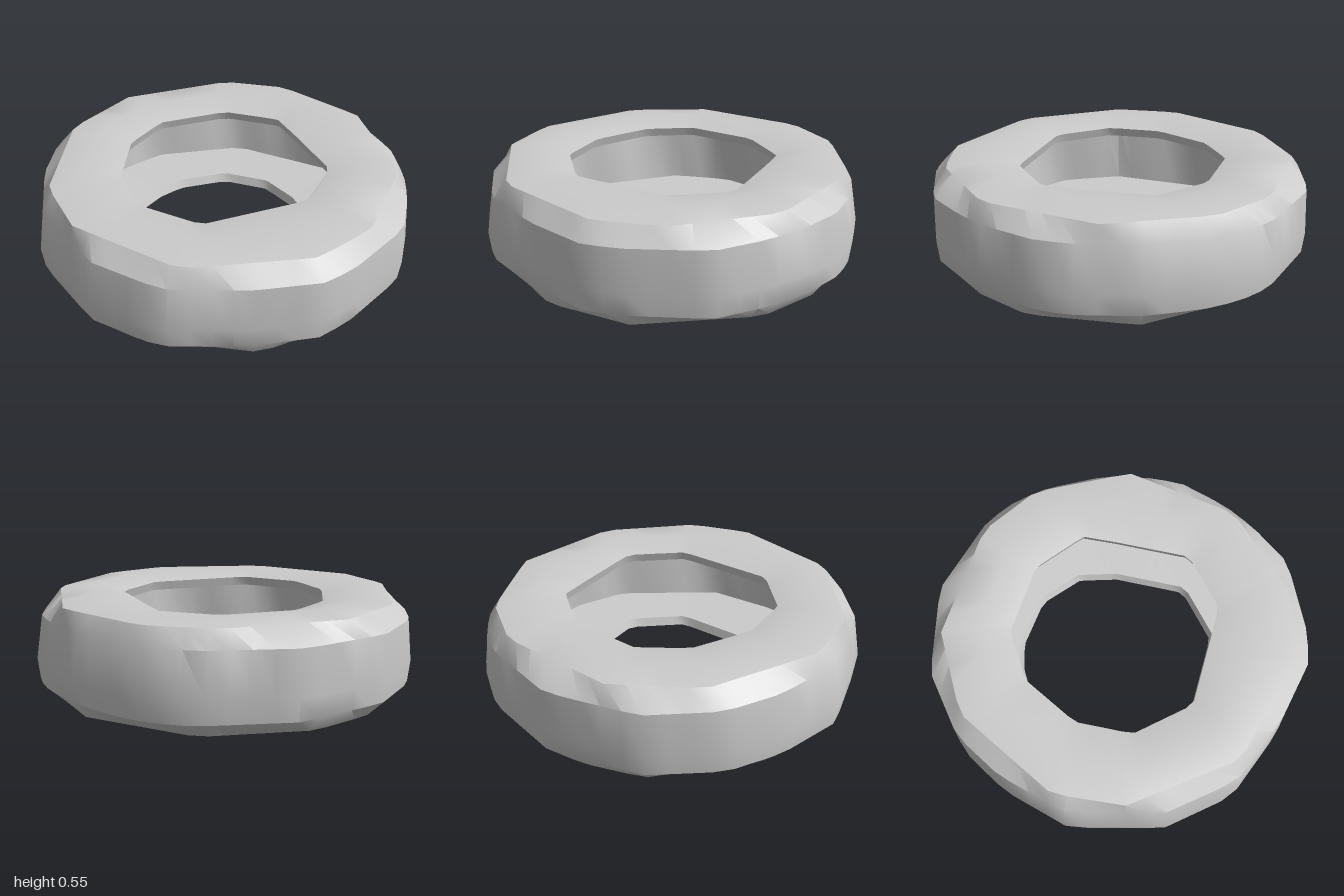
import * as THREE from 'three';
import { toCreasedNormals } from 'three/addons/utils/BufferGeometryUtils.js';

const SEGMENTS = 60;

// Irregular plan outlines as [x, z] corners, in order of rising angle from +x towards +z
const belt = [[0.99, -0.1], [0.98, 0.2], [0.94, 0.38], [0.78, 0.62], [0.63, 0.77], [0.4, 0.94], [0, 1],
  [-0.2, 1], [-0.53, 0.82], [-0.85, 0.56], [-1, 0.2], [-0.98, -0.3], [-0.78, -0.63], [-0.56, -0.85],
  [-0.2, -1], [0.3, -0.97], [0.72, -0.72], [0.85, -0.56], [0.93, -0.38]];
const topRim = [[0.92, 0.09], [0.65, 0.65], [0.17, 0.91], [-0.18, 0.91], [-0.72, 0.58], [-0.93, 0],
  [-0.86, -0.36], [-0.44, -0.82], [0, -0.93], [0.59, -0.72], [0.82, -0.44]];
const bottomRim = topRim.map(([x, z]) => [x, -z]).reverse();
const topHole = [[0.5, 0], [0.4, 0.39], [0.1, 0.53], [-0.43, 0.36], [-0.57, 0.05], [-0.5, -0.24],
  [-0.27, -0.49], [-0.05, -0.56], [0, -0.57], [0.36, -0.44], [0.54, -0.18]];
const bottomHole = [[0.5, 0], [0.4, 0.39], [0.1, 0.53], [-0.43, 0.36], [-0.46, 0.32], [-0.5, -0.24],
  [-0.27, -0.49], [-0.05, -0.55], [0.1, -0.55], [0.36, -0.44], [0.5, -0.22]];

const scaled = (poly, sx, sz = sx) => poly.map(([x, z]) => [x * sx, z * sz]);

// Distance from the centre to an outline along a given angle
function radiusAt(poly, angle) {
  const dx = Math.cos(angle), dz = Math.sin(angle);
  for (let i = 0; i < poly.length; i++) {
    const [ax, az] = poly[i], [bx, bz] = poly[(i + 1) % poly.length];
    const sideA = dx * az - dz * ax, sideB = dx * bz - dz * bx;
    if (sideA <= 0 && sideB > 0) {
      const t = sideA / (sideA - sideB);
      const r = dx * (ax + (bx - ax) * t) + dz * (az + (bz - az) * t);
      if (r > 0) return r;
    }
  }
  return 0;
}

// Skin a strip through a list of rings, each { y, r(angle) }
function loft(rings) {
  const positions = [], index = [];
  rings.forEach(({ y, r }) => {
    for (let j = 0; j < SEGMENTS; j++) {
      const a = (j / SEGMENTS) * Math.PI * 2;
      positions.push(r(a) * Math.cos(a), y, r(a) * Math.sin(a));
    }
  });
  for (let i = 0; i < rings.length - 1; i++) {
    for (let j = 0; j < SEGMENTS; j++) {
      const k = (j + 1) % SEGMENTS;
      const a = i * SEGMENTS + j, b = i * SEGMENTS + k;
      const c = a + SEGMENTS, d = b + SEGMENTS;
      index.push(a, b, c, b, d, c);
    }
  }
  const geometry = new THREE.BufferGeometry();
  geometry.setAttribute('position', new THREE.Float32BufferAttribute(positions, 3));
  geometry.setIndex(index);
  return toCreasedNormals(geometry, 0.6);
}

const ring = (y, poly) => ({ y, r: (a) => radiusAt(poly, a) });
const between = (y, p, q, t) => ({ y, r: (a) => radiusAt(p, a) * (1 - t) + radiusAt(q, a) * t });

export function createModel() {
  const group = new THREE.Group();
  group.name = 'tire';
  const material = new THREE.MeshStandardMaterial({ color: 0xcccccc, side: THREE.DoubleSide });
  const add = (name, rings) => {
    const mesh = new THREE.Mesh(loft(rings), material);
    mesh.name = name;
    group.add(mesh);
  };

  // Outside: upper sidewall, tread, lower sidewall
  add('outerShell', [
    ring(0.52, topHole),
    between(0.555, topHole, topRim, 0.5),
    ring(0.535, topRim),
    ring(0.45, scaled(belt, 0.957, 0.995)),
    ring(0.22, belt),
    ring(0.11, scaled(belt, 0.988)),
    ring(0.03, bottomRim),
    between(0.005, bottomHole, bottomRim, 0.5),
    ring(0.03, bottomHole),
  ]);

  // Inside: lower bead, hollow cavity, upper bead
  add('innerLining', [
    ring(0.03, bottomHole),
    ring(0.08, scaled(bottomHole, 1.03)),
    ring(0.09, scaled(bottomRim, 0.96)),
    ring(0.46, scaled(topRim, 0.96)),
    ring(0.47, scaled(topHole, 1.03)),
    ring(0.52, topHole),
  ]);

  return group;
}
